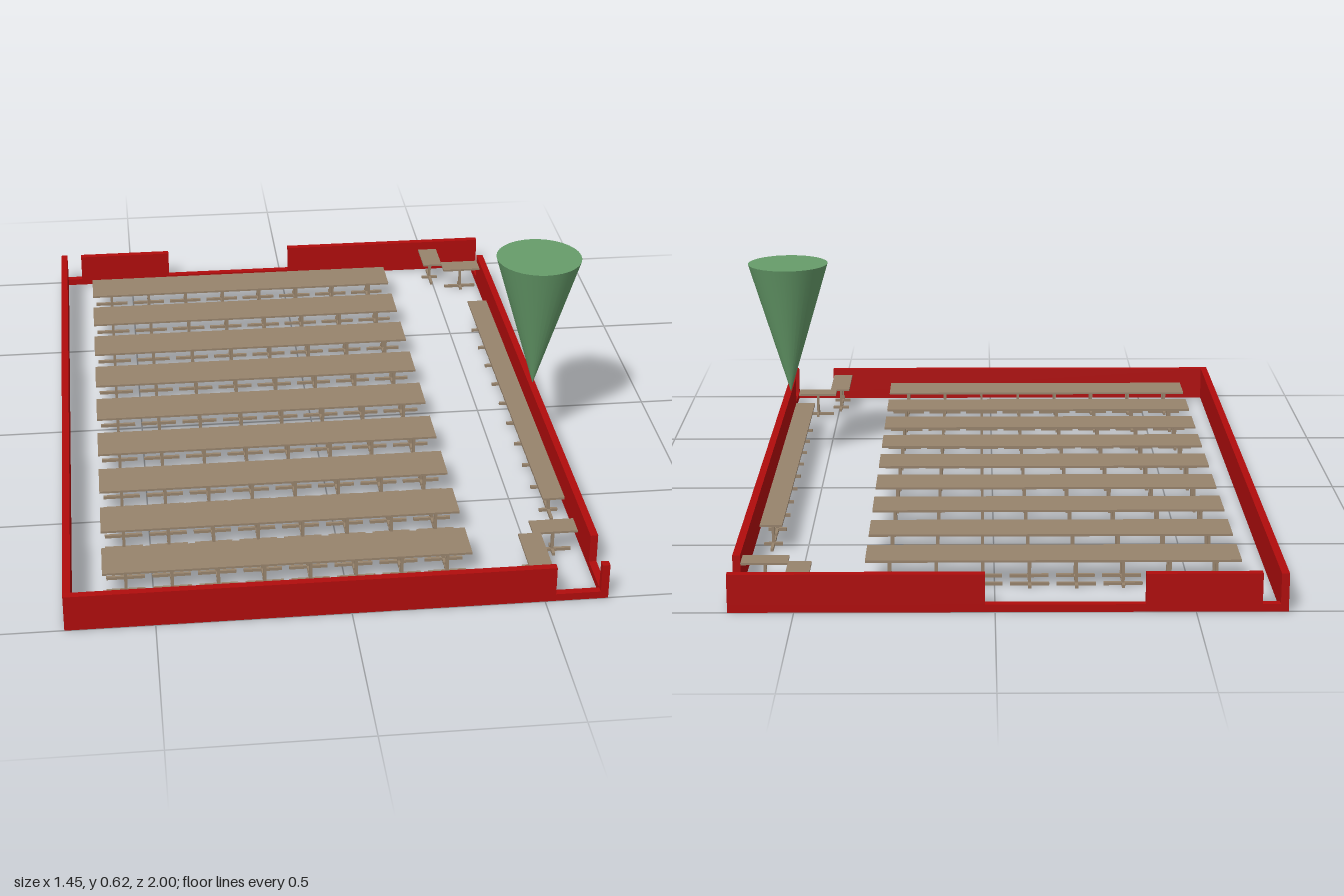
import * as THREE from 'three';
import { mergeGeometries } from 'three/addons/utils/BufferGeometryUtils.js';

const red = new THREE.MeshStandardMaterial({ color: 0xb00c0c });
const tan = new THREE.MeshStandardMaterial({ color: 0x97836c });
const green = new THREE.MeshStandardMaterial({ color: 0x669c6a });

// Box geometry given by its limits on each axis
function span(x0, x1, y0, y1, z0, z1) {
  return new THREE.BoxGeometry(x1 - x0, y1 - y0, z1 - z0)
    .translate((x0 + x1) / 2, (y0 + y1) / 2, (z0 + z1) / 2);
}

function addMesh(parent, name, geometry, material) {
  const mesh = new THREE.Mesh(geometry, material);
  mesh.name = name;
  parent.add(mesh);
}

// Outer limits of the room, wall thickness, sill and wall heights
const X0 = -0.73, X1 = 0.665, Z0 = -1, Z1 = 1, T = 0.02, SILL = 0.02, H = 0.1;

// A wall is a low sill with full-height panels between its openings
function wallAlongX(name, z, panels) {
  const group = new THREE.Group();
  group.name = name;
  addMesh(group, 'sill', span(X0, X1, 0, SILL, z, z + T), red);
  for (const [a, b] of panels) addMesh(group, 'wallPanel', span(a, b, SILL, H, z, z + T), red);
  return group;
}

function wallAlongZ(name, x, panels) {
  const group = new THREE.Group();
  group.name = name;
  addMesh(group, 'sill', span(x, x + T, 0, SILL, Z0 + T, Z1 - T), red);
  for (const [a, b] of panels) addMesh(group, 'wallPanel', span(x, x + T, SILL, H, a, b), red);
  return group;
}

// Table top on a grid of pedestals, each a post with a crossed foot
function table(name, x0, x1, z0, z1, nx, nz) {
  const group = new THREE.Group();
  group.name = name;
  addMesh(group, 'tableTop', span(x0, x1, 0.074, 0.08, z0, z1), tan);
  const dx = (x1 - x0) / nx, dz = (z1 - z0) / nz;
  const fx = dx * 0.42, fz = dz * 0.42, r = 0.004;
  const parts = [];
  for (let i = 0; i < nx; i++) {
    for (let j = 0; j < nz; j++) {
      const x = x0 + (i + 0.5) * dx, z = z0 + (j + 0.5) * dz;
      parts.push(
        span(x - r, x + r, 0.008, 0.074, z - r, z + r),
        span(x - fx, x + fx, 0.002, 0.01, z - r, z + r),
        span(x - r, x + r, 0.002, 0.01, z - fz, z + fz)
      );
    }
  }
  addMesh(group, 'pedestals', mergeGeometries(parts), tan);
  return group;
}

export function createModel() {
  const model = new THREE.Group();
  model.name = 'roomPlan';

  // Outer walls; short panels at the corners stand as posts
  const walls = new THREE.Group();
  walls.name = 'walls';
  walls.add(
    wallAlongX('frontWall', Z1 - T, [[X0, 0.528], [X1 - T, X1]]),
    wallAlongX('backWall', Z0, [[X0, X0 + T], [-0.665, -0.375], [0.025, X1]]),
    wallAlongZ('rightWall', X0, [[Z0 + T, Z1 - T]]),
    wallAlongZ('leftWall', X1 - T, [[-0.86, 0.86]])
  );
  model.add(walls);

  // Nine rows of long double tables
  const tables = new THREE.Group();
  tables.name = 'tables';
  for (let i = 0; i < 9; i++) {
    const z = -0.785 + i * 0.2;
    tables.add(table('tableRow', -0.63, 0.33, z - 0.06, z + 0.06, 8, 2));
  }

  // Side counter and the small tables beside the corner doors
  tables.add(
    table('sideTable', 0.565, 0.625, -0.565, 0.635, 1, 10),
    table('backCornerTable', 0.465, 0.525, -0.965, -0.845, 1, 1),
    table('backDoorTable', 0.525, 0.645, -0.86, -0.8, 1, 1),
    table('frontCornerTable', 0.465, 0.525, 0.8, 0.98, 1, 2),
    table('frontDoorTable', 0.505, 0.625, 0.74, 0.8, 1, 1)
  );
  model.add(tables);

  // Floating marker cone pointing down
  const cone = new THREE.ConeGeometry(0.118, 0.395, 32)
    .rotateX(Math.PI).translate(0.606, 0.4225, 0.25);
  addMesh(model, 'markerCone', cone, green);

  return model;
}
